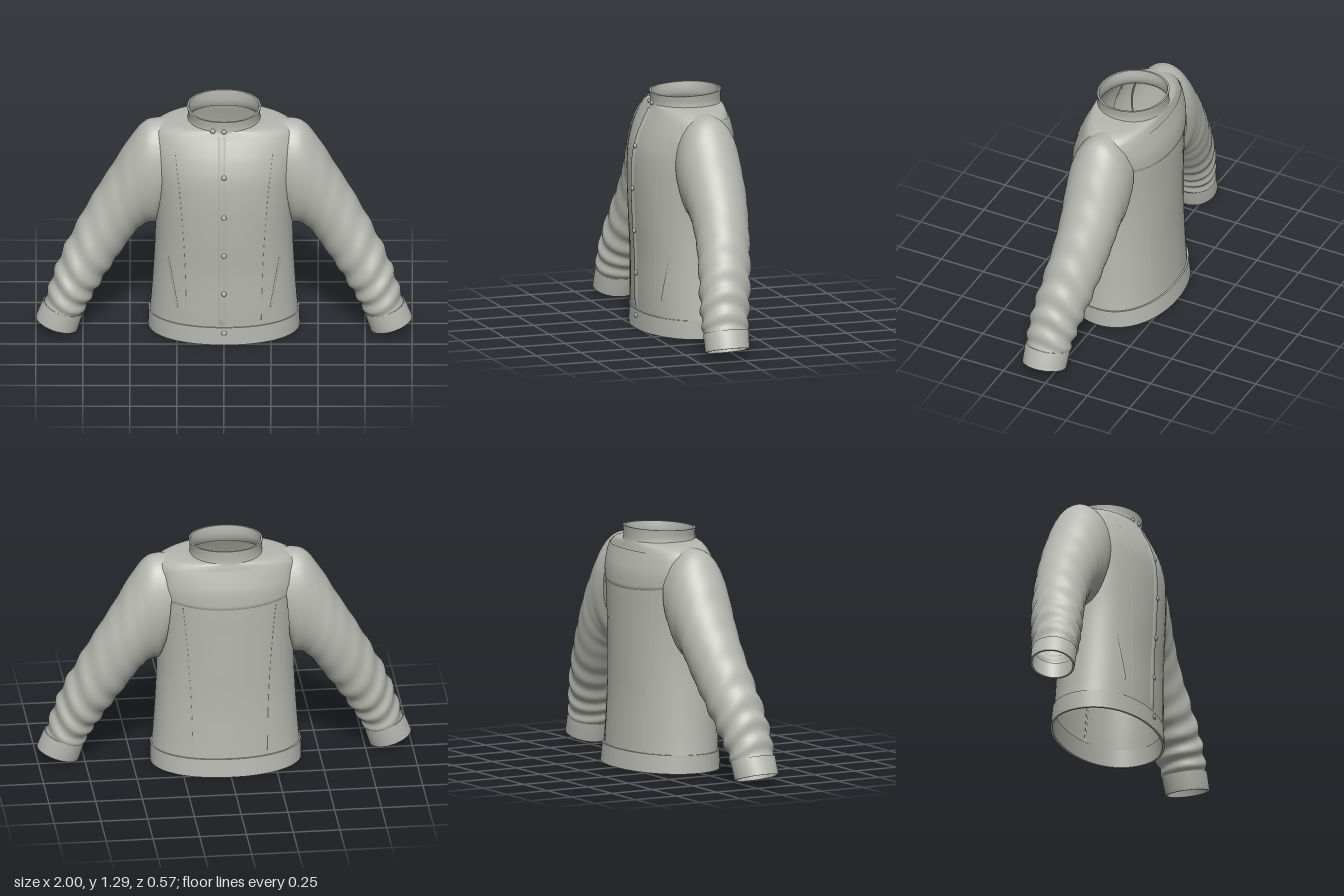
import * as THREE from 'three';

const cloth = new THREE.MeshStandardMaterial({ color: 0xb6b7af, side: THREE.DoubleSide });
cloth.name = 'grey cloth';

// Smoothly subdivide a table of cross-sections (Catmull-Rom on every column)
function refine(rows, steps) {
  const out = [], n = rows.length;
  for (let i = 0; i < n - 1; i++) {
    const a = rows[Math.max(i - 1, 0)], b = rows[i], c = rows[i + 1], d = rows[Math.min(i + 2, n - 1)];
    for (let k = 0; k < steps; k++) {
      const t = k / steps;
      out.push(b.map((_, m) => 0.5 * (2 * b[m] + (c[m] - a[m]) * t
        + (2 * a[m] - 5 * b[m] + 4 * c[m] - d[m]) * t * t
        + (3 * b[m] - a[m] - 3 * c[m] + d[m]) * t * t * t)));
    }
  }
  out.push(rows[n - 1]);
  return out;
}

// Surface through rows of points, optionally closed around each row
function skin(name, rows, closed) {
  const n = rows[0].length, pos = [], idx = [];
  rows.forEach(r => r.forEach(p => pos.push(...p)));
  for (let i = 0; i < rows.length - 1; i++) {
    for (let j = 0; j < (closed ? n : n - 1); j++) {
      const k = (j + 1) % n, a = i * n + j, b = i * n + k;
      idx.push(a, b, a + n, b, b + n, a + n);
    }
  }
  const g = new THREE.BufferGeometry();
  g.setAttribute('position', new THREE.Float32BufferAttribute(pos, 3));
  g.setIndex(idx);
  g.computeVertexNormals();
  const mesh = new THREE.Mesh(g, cloth);
  mesh.name = name;
  return mesh;
}

// Horizontal oval: [y, half width, front z, back z]
const POW = 0.94, SEG = 72;
const spow = v => Math.sign(v) * Math.abs(v) ** POW;
function oval([y, w, zf, zb], tilt = 0) {
  const c = (zf + zb) / 2, h = (zf - zb) / 2;
  return Array.from({ length: SEG }, (_, j) => {
    const a = j / SEG * Math.PI * 2, z = c + h * spow(Math.cos(a));
    return [w * spow(Math.sin(a)), y - tilt * z, z];
  });
}

const torsoRows = refine([
  [0.09, 0.396, 0.252, -0.264], [0.2, 0.386, 0.255, -0.258], [0.4, 0.373, 0.258, -0.25],
  [0.6, 0.366, 0.27, -0.25], [0.8, 0.375, 0.276, -0.25], [0.95, 0.39, 0.268, -0.25],
  [1.05, 0.4, 0.242, -0.245], [1.12, 0.395, 0.212, -0.228], [1.17, 0.375, 0.187, -0.213],
  [1.2, 0.325, 0.173, -0.206], [1.212, 0.26, 0.168, -0.203], [1.217, 0.19, 0.165, -0.202],
], 5);

// Depth of the torso wall at x, y (side 1 = front, -1 = back)
function wallZ(x, y, side) {
  let i = 0;
  while (i < torsoRows.length - 2 && torsoRows[i + 1][0] < y) i++;
  const a = torsoRows[i], b = torsoRows[i + 1];
  const t = THREE.MathUtils.clamp((y - a[0]) / (b[0] - a[0]), 0, 1);
  const [, w, zf, zb] = a.map((v, m) => v + (b[m] - v) * t);
  const u = Math.max(0, 1 - Math.min(1, Math.abs(x) / w) ** (2 / POW));
  return (zf + zb) / 2 + side * (zf - zb) / 2 * u ** (POW / 2);
}

// Thin panel lying on the torso; left and right edges are functions of height
function panel(name, xa, xb, y0, y1, side, lift, nx = 2, ny = 40) {
  const rows = [];
  for (let i = 0; i <= ny; i++) {
    const row = [];
    for (let j = 0; j <= nx; j++) {
      const t = side > 0 ? j / nx : 1 - j / nx, s = i / ny;
      const x = xa(s) + (xb(s) - xa(s)) * t;
      const y = typeof y0 === 'function' ? y0(x) + (y1 - y0(x)) * s : y0 + (y1 - y0) * s;
      const edge = (j === 0 || j === nx || i === 0) ? -0.003 : lift;
      row.push([x, y, wallZ(x, y, side) + side * edge]);
    }
    rows.push(row);
  }
  return skin(name, rows, false);
}

// Slanted sleeve section: [inner x, inner y, outer x, outer y, centre z, half depth]
function cuffRing([ix, iy, ox, oy, zc, zh], s, scale = () => 1) {
  const n = 48;
  return Array.from({ length: n }, (_, j) => {
    const a = s * j / n * Math.PI * 2, k = scale(a);
    const u = 0.5 * Math.cos(a) * k;
    return [s * ((ix + ox) / 2 + (ox - ix) * u), (iy + oy) / 2 + (oy - iy) * u, zc + zh * Math.sin(a) * k];
  });
}

function sleeve(s) {
  const g = new THREE.Group();
  g.name = s > 0 ? 'leftSleeve' : 'rightSleeve';
  const rows = refine([
    [0.335, 0.68, 0.29, 1.205, -0.012, 0.165], [0.36, 0.615, 0.41, 1.193, -0.012, 0.172],
    [0.405, 0.605, 0.5, 1.09, -0.013, 0.166], [0.46, 0.56, 0.6, 0.92, -0.017, 0.157],
    [0.525, 0.465, 0.695, 0.76, -0.01, 0.147], [0.6, 0.355, 0.79, 0.585, 0.01, 0.142],
    [0.67, 0.245, 0.87, 0.42, 0.033, 0.137], [0.72, 0.16, 0.92, 0.28, 0.05, 0.13],
    [0.755, 0.09, 0.955, 0.16, 0.058, 0.12],
  ], 10);
  // Folds gather towards the wrist
  const last = rows.length - 1;
  g.add(skin('sleeve', rows.map((r, i) => {
    const t = i / last, amp = 0.008 + 0.045 * THREE.MathUtils.smoothstep(t, 0.45, 0.8);
    const fade = THREE.MathUtils.smoothstep(t, 0.15, 0.35) * (1 - THREE.MathUtils.smoothstep(t, 0.95, 1));
    return cuffRing(r, s, a => 1 + amp * fade * Math.sin(t * 62 + 1.4 * Math.sin(a + 0.6) + Math.cos(2 * a)));
  }), true));
  // Cuff with a turned-in lining
  const top = [0.747, 0.1, 0.962, 0.168, 0.058, 0.123], end = [0.777, 0.003, 1.0, 0.072, 0.062, 0.119];
  const small = k => () => k;
  g.add(skin('cuff', [cuffRing(top, s, small(0.94)), cuffRing(top, s), cuffRing(end, s)], true));
  g.add(skin('cuffRim', [cuffRing(end, s), cuffRing(end, s, small(0.92))], true));
  g.add(skin('cuffLining', [cuffRing(end, s, small(0.92)), cuffRing(top, s, small(0.9))], true));
  return g;
}

export function createModel() {
  const model = new THREE.Group();
  model.name = 'jacket';

  model.add(skin('torso', torsoRows.map(r => oval(r)), true));

  // Waistband: outer face, upper step, bottom rim and lining
  const hemLow = [0, 0.404, 0.262, -0.284], hemTop = [0.1, 0.402, 0.258, -0.272];
  const inLow = [0, 0.392, 0.25, -0.272], inTop = [0.1, 0.389, 0.245, -0.258];
  const band = (name, ...r) => model.add(skin(name, r.map(v => oval(v)), true));
  band('waistband', hemLow, hemTop);
  band('waistbandTop', hemTop, inTop);
  band('waistbandRim', inLow, hemLow);
  band('waistbandLining', inTop, inLow);

  // Stand collar, higher at the back
  const collar = refine([[1.185, 0.21, 0.18, -0.21], [1.21, 0.195, 0.171, -0.204],
    [1.24, 0.191, 0.168, -0.203], [1.279, 0.196, 0.171, -0.205]], 4);
  const shrink = ([y, w, f, b]) => [y, w - 0.01, f - 0.01, b + 0.01];
  const lip = collar[collar.length - 1];
  model.add(skin('collar', collar.map(r => oval(r, 0.04)), true));
  model.add(skin('collarRim', [oval(lip, 0.04), oval(shrink(lip), 0.04)], true));
  model.add(skin('collarLining', collar.map(r => oval(shrink(r), 0.04)).reverse(), true));

  // Button placket and curved back yoke
  model.add(panel('placket', () => -0.037, () => 0.012, 0.1, 1.19, 1, 0.005, 4));
  model.add(panel('yoke', () => -0.34, () => 0.34, x => 0.96 + 0.25 * x * x, 1.17, -1, 0.006, 40, 16));

  for (const s of [1, -1]) {
    model.add(sleeve(s));
    // Slanted pocket welt and long panel seams, front and back
    const strip = (name, f, half, y0, y1, side, lift) =>
      model.add(panel(name, t => s * f(t) - half, t => s * f(t) + half, y0, y1, side, lift));
    strip('pocketWelt', t => 0.248 + 0.052 * t, 0.007, 0.19, 0.48, 1, 0.007);
    strip('frontSeam', t => 0.2 + 0.06 * t * t, 0.004, 0.1, 1.1, 1, 0.003);
    strip('backSeam', t => 0.2 + 0.05 * t * t, 0.004, 0.1, 0.97, -1, 0.003);
  }

  // Snap buttons
  const snap = new THREE.SphereGeometry(0.014, 16, 10);
  const spots = [[0, 0.07, 0.262], [-0.06, 1.217, 0.164], [0, 1.217, 0.172]];
  for (const y of [0.3, 0.53, 0.76, 0.99]) spots.push([0, y, wallZ(0, y, 1) + 0.005]);
  for (const [x, y, z] of spots) {
    const b = new THREE.Mesh(snap, cloth);
    b.name = 'button';
    b.position.set(x, y, z);
    b.scale.z = 0.6;
    model.add(b);
  }
  return model;
}
